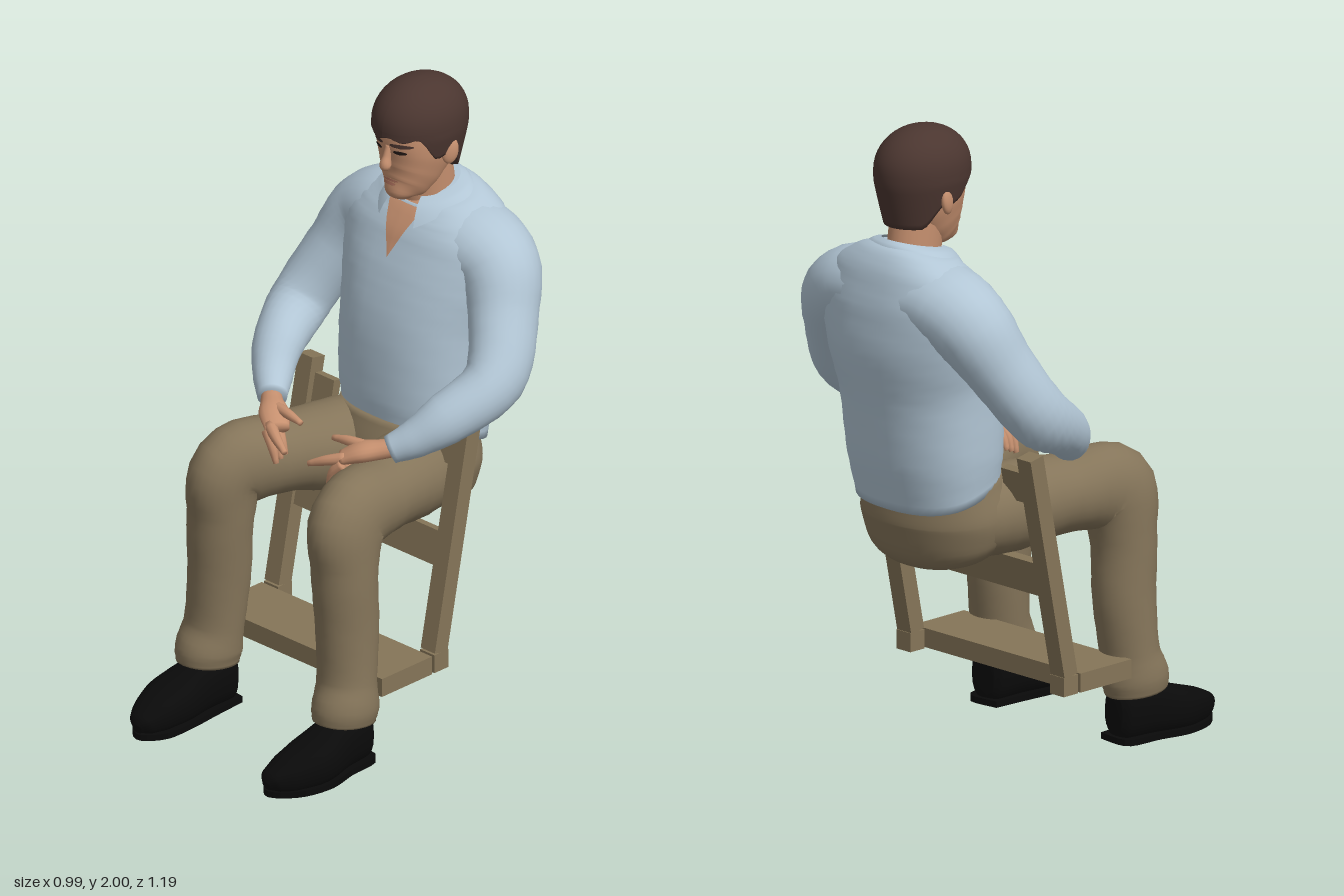
import * as THREE from 'three';

const mat = (name, color, side = THREE.FrontSide) => {
  const m = new THREE.MeshStandardMaterial({ color, side });
  m.name = name;
  return m;
};

// Smooth tube through rings [x, y, z, radiusA, radiusB]; radiusA runs along ref.
function loft(rings, { ref = [1, 0, 0], n = 24, steps = 6, e = 2, fold = 0 } = {}) {
  const path = new THREE.CatmullRomCurve3(rings.map(r => new THREE.Vector3(r[0], r[1], r[2])));
  const size = new THREE.CatmullRomCurve3(rings.map(r => new THREE.Vector3(r[3], r[4], 0)), false, 'catmullrom', 0.4);
  const R = new THREE.Vector3(...ref), pos = [], idx = [];
  const rows = (rings.length - 1) * steps;
  const pw = v => Math.sign(v) * Math.abs(v) ** (2 / e);
  for (let i = 0; i <= rows; i++) {
    const t = i / rows, c = path.getPoint(t), s = size.getPoint(t), T = path.getTangent(t);
    const S = R.clone().addScaledVector(T, -R.dot(T)).normalize();
    const U = T.clone().cross(S);
    for (let j = 0; j < n; j++) {
      const a = j / n * Math.PI * 2;
      const k = 1 + fold * Math.sin(3 * a + i * 0.9) * Math.sin(i * 1.3 + 2 * a);
      const p = c.clone().addScaledVector(S, s.x * k * pw(Math.cos(a))).addScaledVector(U, s.y * k * pw(Math.sin(a)));
      pos.push(p.x, p.y, p.z);
    }
  }
  for (let i = 0; i < rows; i++) for (let j = 0; j < n; j++) {
    const a = i * n + j, b = i * n + (j + 1) % n;
    idx.push(a, b, b + n, a, b + n, a + n);
  }
  // End caps
  const first = pos.length / 3, p0 = path.getPoint(0), p1 = path.getPoint(1);
  pos.push(p0.x, p0.y, p0.z, p1.x, p1.y, p1.z);
  for (let j = 0; j < n; j++) {
    const k = (j + 1) % n;
    idx.push(first, k, j, first + 1, rows * n + j, rows * n + k);
  }
  return build(pos, idx);
}

function build(pos, idx) {
  const g = new THREE.BufferGeometry();
  g.setAttribute('position', new THREE.Float32BufferAttribute(pos, 3));
  g.setIndex(idx);
  g.computeVertexNormals();
  return g;
}

// Change the height of every vertex by a rule
function reshapeY(g, rule) {
  const p = g.attributes.position;
  for (let i = 0; i < p.count; i++) p.setY(i, rule(p.getY(i), p.getZ(i)));
  g.computeVertexNormals();
  return g;
}

// Open surface from fn(u, v) -> [x, y, z]
function sheet(fn, nu, nv) {
  const pos = [], idx = [];
  for (let i = 0; i <= nv; i++) for (let j = 0; j <= nu; j++) pos.push(...fn(j / nu, i / nv));
  for (let i = 0; i < nv; i++) for (let j = 0; j < nu; j++) {
    const a = i * (nu + 1) + j, b = a + nu + 1;
    idx.push(a, b + 1, a + 1, a, b, b + 1);
  }
  return build(pos, idx);
}

// Thin patch laid on the front of a mesh; half(v) is its half width
function drape(target, x, y0, y1, half, lift = 0.003) {
  const ray = new THREE.Raycaster(), dir = new THREE.Vector3(0, 0, -1);
  let z = -0.2;
  return sheet((u, v) => {
    const px = x + (u * 2 - 1) * half(v), py = y1 + (y0 - y1) * v;
    ray.set(new THREE.Vector3(px, py, 1), dir);
    const hit = ray.intersectObject(target)[0];
    if (hit) z = hit.point.z;
    return [px, py, z + lift];
  }, 10, 10);
}

export function createModel() {
  const model = new THREE.Group();
  model.name = 'seatedMan';
  const D = THREE.DoubleSide, { smoothstep: step, lerp } = THREE.MathUtils;
  const skin = mat('skin', 0xc6906f, D), hairM = mat('hair', 0x4b3630, D), shirt = mat('shirt', 0xb2c6d5, D);
  const cloth = mat('trousers', 0x85755a), wood = mat('wood', 0x857558), black = mat('shoeBlack', 0x0a0a0a);
  const lipM = mat('lips', 0xb0735f, D), eyeM = mat('eyes', 0x241a17, D);
  const add = (name, geo, m, parent = model) => {
    const o = new THREE.Mesh(geo, m);
    o.name = name;
    parent.add(o);
    return o;
  };
  const box = (name, w, h, d, x, y, z, parent) =>
    add(name, new THREE.BoxGeometry(w, h, d), wood, parent).position.set(x, y, z);

  // Chair frame
  const chair = new THREE.Group();
  chair.name = 'chair';
  model.add(chair);
  box('footBoard', 0.72, 0.06, 0.215, 0, 0.25, 0.078, chair);
  const back = new THREE.Group();
  back.name = 'chairBack';
  back.position.set(0, 0.26, -0.065);
  back.rotation.x = -0.2;
  chair.add(back);
  for (const s of [-1, 1]) {
    box('upright', 0.06, 0.73, 0.055, s * 0.33, 0.385, 0, back);
    box('uprightFoot', 0.06, 0.06, 0.06, s * 0.33, 0.25, -0.07, chair);
    box('topBlock', 0.1, 0.1, 0.03, s * 0.27, 0.65, -0.01, back);
  }
  box('lowerRail', 0.62, 0.11, 0.03, 0, 0.335, 0, back);

  // Shirt body, its hem rising towards the front
  const body = loft([
    [0, 0.835, -0.32, 0.24, 0.175], [0, 1.0, -0.335, 0.255, 0.2], [0, 1.2, -0.355, 0.262, 0.21],
    [0, 1.35, -0.385, 0.29, 0.205], [0, 1.48, -0.405, 0.305, 0.178], [0, 1.56, -0.41, 0.255, 0.15],
    [0, 1.615, -0.405, 0.17, 0.12], [0, 1.64, -0.4, 0.08, 0.08],
  ], { n: 40, e: 2.3, fold: 0.008 });
  reshapeY(body, (y, z) => y + 0.05 * step(z, -0.48, -0.2) * (1 - step(y, 0.83, 1)));
  const torso = add('shirtBody', body, shirt);
  add('collar', sheet((u, v) => {
    const a = 0.5 + u * (Math.PI * 2 - 1), f = (1 + Math.cos(a)) / 2;
    const w = Math.sqrt(v), top = 1.665 - 0.045 * f, low = 1.63 - 0.1 * f ** 3;
    const rx = 0.09 + 0.06 * w, rz = 0.095 + (0.03 + 0.045 * f) * w;
    return [rx * Math.sin(a), top + (low - top) * v, -0.388 + rz * Math.cos(a)];
  }, 40, 5), shirt);
  add('openNeck', drape(torso, 0, 1.44, 1.62, v => 0.082 * (1 - v)), skin);

  // Trouser seat
  add('trouserSeat', loft([
    [0, 0.642, -0.255, 0.12, 0.07], [0, 0.662, -0.262, 0.2, 0.135], [0, 0.71, -0.277, 0.245, 0.178],
    [0, 0.79, -0.282, 0.262, 0.193], [0, 0.9, -0.3, 0.235, 0.17],
  ], { n: 36, e: 2.1 }), cloth);

  for (const s of [-1, 1]) {
    const m = rings => rings.map(([x, ...r]) => [s * x, ...r]);

    // Trouser leg
    add('trouserLeg', loft(m([
      [0.13, 0.785, -0.38, 0.05, 0.06], [0.135, 0.78, -0.3, 0.12, 0.122], [0.152, 0.787, -0.13, 0.14, 0.138],
      [0.205, 0.8, 0.05, 0.122, 0.122], [0.25, 0.785, 0.22, 0.105, 0.138], [0.262, 0.64, 0.248, 0.1, 0.106],
      [0.27, 0.45, 0.243, 0.095, 0.1], [0.28, 0.28, 0.256, 0.094, 0.09], [0.288, 0.2, 0.27, 0.098, 0.108],
      [0.288, 0.155, 0.275, 0.09, 0.104],
    ]), { n: 28, fold: 0.015 }), cloth);

    // Sleeve, starting inside the body so that the shoulder flows into it
    add('sleeve', loft(m([
      [0.06, 1.49, -0.415, 0.155, 0.12], [0.19, 1.475, -0.413, 0.146, 0.125], [0.276, 1.425, -0.405, 0.13, 0.124],
      [0.343, 1.31, -0.355, 0.112, 0.102], [0.404, 1.15, -0.25, 0.1, 0.09], [0.358, 1.06, -0.1, 0.078, 0.08],
      [0.303, 1.0, -0.02, 0.062, 0.06], [0.25, 0.964, 0.038, 0.045, 0.044],
    ]), { ref: [0, 0, 1], n: 24, fold: 0.018 }), shirt);

    // Hand: palm, thumb and fingers resting over the thigh
    const hand = new THREE.Group();
    hand.name = 'hand';
    model.add(hand);
    add('palm', loft(m([
      [0.27, 0.974, 0.02, 0.028, 0.03], [0.23, 0.964, 0.058, 0.03, 0.035], [0.185, 0.954, 0.095, 0.031, 0.047],
      [0.135, 0.93, 0.132, 0.019, 0.038],
    ]), { ref: [0, 1, 0], n: 16 }), skin, hand);
    const digit = (name, pts) => add(name, loft(m(pts.map((p, i) => [...p, ...Array(2).fill([0.02, 0.016, 0.009][i])])),
      { ref: [0, 0, 1], n: 10, steps: 4 }), skin, hand);
    digit('thumb', [[0.2, 0.967, 0.078], [0.13, 0.97, 0.092], [0.068, 0.962, 0.098]]);
    digit('indexFinger', [[0.16, 0.937, 0.137], [0.105, 0.922, 0.167], [0.05, 0.9, 0.187]]);
    for (let i = 0; i < 3; i++)
      digit('curledFinger', [[0.16, 0.922, 0.147 - i * 0.02], [0.13, 0.89, 0.16 - i * 0.02], [0.11, 0.835 + i * 0.008, 0.162 - i * 0.02]]);

    // Shoe upper, flattened underneath
    const shoe = loft(m([
      [0.28, 0.09, 0.188, 0.04, 0.06], [0.282, 0.09, 0.21, 0.062, 0.085], [0.288, 0.088, 0.31, 0.072, 0.083],
      [0.294, 0.068, 0.42, 0.086, 0.07], [0.285, 0.055, 0.51, 0.07, 0.055], [0.275, 0.045, 0.575, 0.042, 0.035],
      [0.273, 0.036, 0.596, 0.015, 0.016],
    ]), { n: 20, e: 2.5 });
    add('shoe', reshapeY(shoe, y => Math.max(y, 0.012)), black);

    // Sole
    const outline = new THREE.Shape();
    outline.setFromPoints(new THREE.SplineCurve([
      [0.225, -0.19], [0.34, -0.19], [0.358, -0.31], [0.378, -0.42], [0.35, -0.53], [0.275, -0.595], [0.213, -0.53],
      [0.208, -0.42], [0.217, -0.31], [0.225, -0.19],
    ].map(([x, z]) => new THREE.Vector2(s * x, z))).getPoints(40));
    const sole = new THREE.ExtrudeGeometry(outline, { depth: 0.02, bevelEnabled: false });
    sole.rotateX(-Math.PI / 2);
    add('sole', sole, black);
  }

  // Neck and head
  add('neck', loft([[0, 1.52, -0.39, 0.07, 0.08], [0, 1.62, -0.38, 0.075, 0.09], [0, 1.75, -0.36, 0.08, 0.085]]), skin);
  const head = add('head', loft([
    [0, 1.622, -0.265, 0.025, 0.03], [0, 1.64, -0.268, 0.048, 0.058], [0, 1.67, -0.285, 0.07, 0.078],
    [0, 1.71, -0.305, 0.088, 0.1], [0, 1.77, -0.325, 0.104, 0.122], [0, 1.84, -0.335, 0.108, 0.132],
    [0, 1.91, -0.345, 0.1, 0.125], [0, 1.965, -0.35, 0.05, 0.06],
  ], { n: 36, e: 2.25 }), skin);
  add('nose', loft([
    [0, 1.815, -0.21, 0.01, 0.008], [0, 1.78, -0.203, 0.012, 0.014], [0, 1.752, -0.196, 0.018, 0.019], [0, 1.738, -0.201, 0.012, 0.012],
  ], { n: 14 }), skin);
  const oval = w => v => w * Math.sqrt(Math.max(0, 1 - (2 * v - 1) ** 2));
  add('upperLip', drape(head, 0, 1.692, 1.7, oval(0.03), 0.004), lipM);
  add('lowerLip', drape(head, 0, 1.681, 1.692, oval(0.024), 0.006), lipM);
  for (const s of [-1, 1]) {
    add('eye', drape(head, s * 0.044, 1.794, 1.807, oval(0.021)), eyeM);
    add('eyebrow', drape(head, s * 0.048, 1.817, 1.831, oval(0.034), 0.005), hairM);
    const ear = add('ear', new THREE.SphereGeometry(1, 16, 12), skin);
    ear.scale.set(0.015, 0.042, 0.028);
    ear.position.set(s * 0.117, 1.785, -0.355);
    ear.rotation.set(-0.15, s * -0.35, 0);
  }

  // Hair cap with fringe, sideburns and nape
  add('hair', sheet((u, v) => {
    const a = u * Math.PI * 2, c = Math.cos(a);
    const low = c > 0 ? lerp(1.775, 1.848, step(c, 0.25, 0.7)) + 0.006 * Math.sin(a * 9)
      : lerp(1.775, 1.7, step(-c, 0.1, 0.65));
    let y, r;
    if (v <= 0.5) {
      y = 1.87 + 0.13 * Math.cos(v * Math.PI);
      r = Math.sin(v * Math.PI) ** 0.95;
    } else {
      y = lerp(1.87, low, Math.min(1, (v - 0.5) / 0.42));
      r = 1 - 1.8 * Math.max(0, 1.84 - y) ** 1.1;
      if (v > 0.95) r *= 0.8;
    }
    return [0.131 * r * Math.sin(a), y, -0.345 + 0.163 * r * c];
  }, 56, 24), hairM);

  return model;
}
